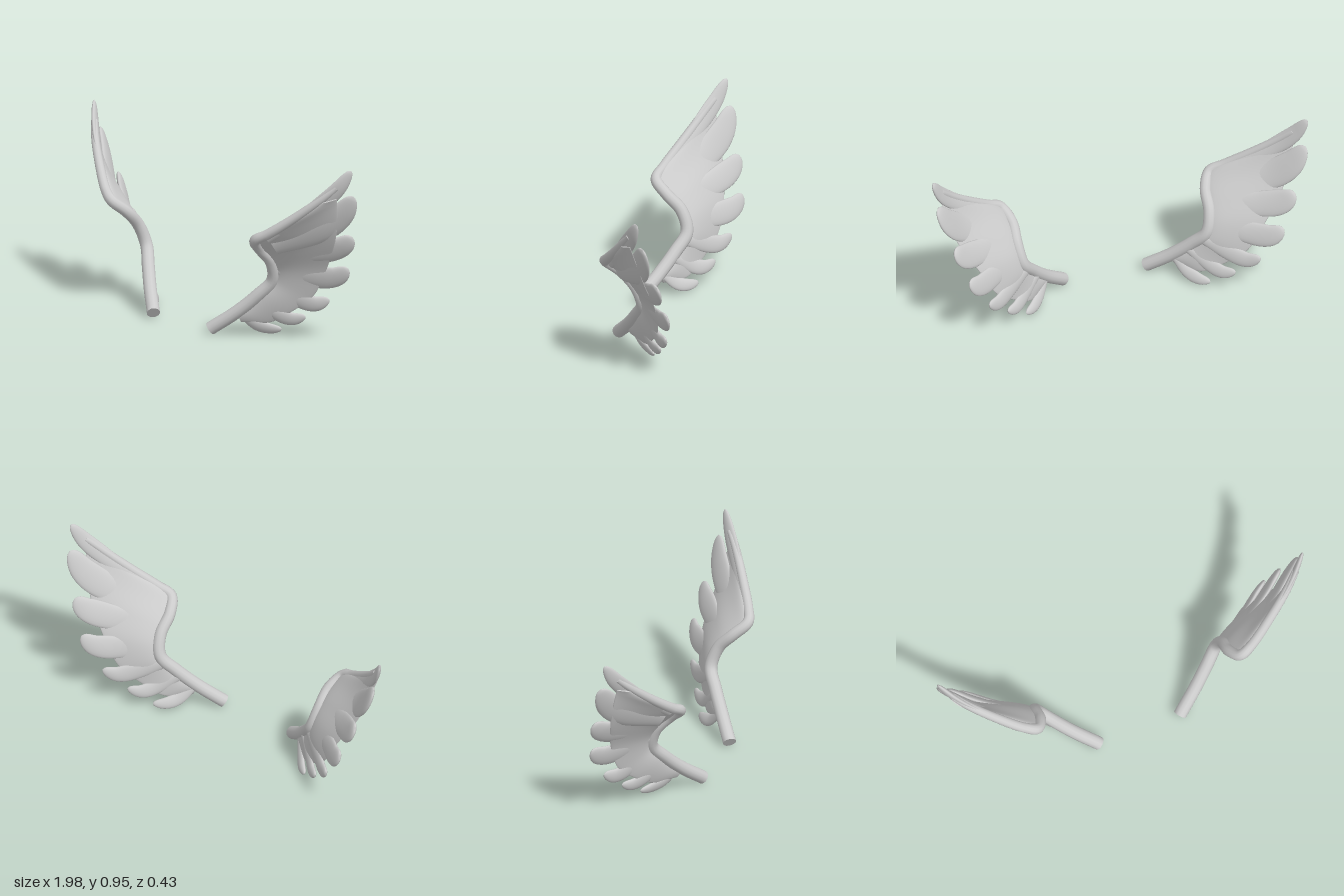
import * as THREE from 'three';

const V = (p) => new THREE.Vector3(...p);
const curve = (pts) => new THREE.CatmullRomCurve3(pts.map(V), false, 'centripetal');
const material = new THREE.MeshStandardMaterial({ color: 0xcccccc, side: THREE.DoubleSide });

// Skin over elliptical sections {c, u, v}; taper thickens the +u side, side mirrors in x
function loft(name, frames, side, sides = 20, taper = 0) {
  const pos = [], idx = [], p = new THREE.Vector3();
  const tri = (a, b, c) => (side > 0 ? idx.push(a, b, c) : idx.push(a, c, b));
  const ring = (f) => {
    for (let j = 0; j < sides; j++) {
      const a = (j / sides) * Math.PI * 2, cos = Math.cos(a);
      p.copy(f.c).addScaledVector(f.u, cos).addScaledVector(f.v, Math.sin(a) * (1 + taper * cos));
      pos.push(p.x * side, p.y, p.z);
    }
  };
  frames.forEach((f, i) => {
    const a = frames[Math.max(i - 1, 0)].c, b = frames[Math.min(i + 1, frames.length - 1)].c;
    if (f.u.clone().cross(f.v).dot(b.clone().sub(a)) < 0) f.v.negate();
    ring(f);
  });
  for (let i = 0; i < frames.length - 1; i++) {
    for (let j = 0; j < sides; j++) {
      const a = i * sides + j, b = i * sides + ((j + 1) % sides);
      tri(a, b, a + sides);
      tri(b, b + sides, a + sides);
    }
  }
  // flat end caps with their own vertices
  [frames[0], frames[frames.length - 1]].forEach((f, e) => {
    const s = pos.length / 3;
    ring(f);
    pos.push(f.c.x * side, f.c.y, f.c.z);
    for (let j = 0; j < sides; j++) {
      const k = s + ((j + 1) % sides);
      if (e) tri(s + sides, s + j, k);
      else tri(s + sides, k, s + j);
    }
  });
  const g = new THREE.BufferGeometry();
  g.setAttribute('position', new THREE.Float32BufferAttribute(pos, 3));
  g.setIndex(idx);
  g.computeVertexNormals();
  const mesh = new THREE.Mesh(g, material);
  mesh.name = name;
  return mesh;
}

// Sections along a spine, lying across the given surface normal
function spineFrames(pts, normal, width, thick, n) {
  const path = curve(pts), frames = [];
  for (let i = 0; i <= n; i++) {
    const t = i / n, tan = path.getTangent(t);
    const u = normal.clone().cross(tan).normalize();
    const v = tan.clone().cross(u).normalize();
    frames.push({ c: path.getPoint(t), u: u.multiplyScalar(width(t)), v: v.multiplyScalar(thick(t)) });
  }
  return frames;
}

// Leading bone, from the root stub over the elbow to the wing tip
const ARM = [
  [0.218, 0.032, 0.186], [0.33, 0.125, 0.11], [0.42, 0.22, 0.045], [0.485, 0.305, 0.0],
  [0.508, 0.41, 0.033], [0.51, 0.49, 0.11], [0.55, 0.55, 0.175], [0.62, 0.59, 0.155],
  [0.74, 0.68, 0.09], [0.86, 0.785, 0.015], [0.93, 0.86, -0.04],
];
// Web between the bone and the notches of the feathers
const WEB_FRONT = [
  [0.33, 0.13, 0.105], [0.38, 0.175, 0.07], [0.43, 0.235, 0.035], [0.48, 0.3, 0.0],
  [0.5, 0.37, 0.013], [0.51, 0.45, 0.07], [0.54, 0.545, 0.165], [0.72, 0.665, 0.1], [0.86, 0.78, 0.015],
];
const WEB_BACK = [
  [0.345, 0.075, 0.09], [0.45, 0.075, -0.01], [0.55, 0.138, -0.065], [0.66, 0.235, -0.12],
  [0.75, 0.39, -0.13], [0.85, 0.555, -0.1], [0.895, 0.67, -0.075], [0.92, 0.765, -0.05], [0.93, 0.8, -0.04],
];
// Feather spines from wing tip to root, with half width
const FEATHERS = [
  [0.05, [[0.6, 0.56, 0.14], [0.84, 0.75, 0.015], [0.93, 0.85, -0.045], [0.987, 0.95, -0.088]]],
  [0.082, [[0.6, 0.51, 0.09], [0.8, 0.61, -0.03], [0.9, 0.7, -0.09], [0.97, 0.81, -0.115]]],
  [0.075, [[0.55, 0.45, 0.04], [0.74, 0.48, -0.08], [0.84, 0.52, -0.145], [0.897, 0.577, -0.172]]],
  [0.068, [[0.52, 0.36, 0.0], [0.67, 0.335, -0.105], [0.765, 0.345, -0.175], [0.828, 0.393, -0.207]]],
  [0.05, [[0.46, 0.27, 0.0], [0.58, 0.21, -0.08], [0.655, 0.19, -0.135], [0.715, 0.216, -0.178]]],
  [0.042, [[0.4, 0.19, 0.04], [0.49, 0.12, -0.03], [0.545, 0.1, -0.08], [0.6, 0.116, -0.12]]],
  [0.036, [[0.345, 0.115, 0.085], [0.39, 0.06, 0.03], [0.435, 0.04, -0.02], [0.485, 0.038, -0.06]]],
];

function webFrames() {
  const front = curve(WEB_FRONT), back = curve(WEB_BACK), n = 48, frames = [];
  const at = (c, t) => c.getPoint(t);
  for (let i = 0; i <= n; i++) {
    const t = i / n, a = at(front, t), b = at(back, t);
    const t0 = Math.max(t - 0.03, 0), t1 = Math.min(t + 0.03, 1);
    const along = at(front, t1).sub(at(front, t0)).add(at(back, t1)).sub(at(back, t0));
    const u = a.clone().sub(b).multiplyScalar(0.5);
    const v = u.clone().cross(along).normalize().multiplyScalar(0.016);
    frames.push({ c: a.add(b).multiplyScalar(0.5), u, v });
  }
  return frames;
}

function makeWing(side) {
  const wing = new THREE.Group();
  wing.name = side > 0 ? 'leftWing' : 'rightWing';

  const radius = (t) => 0.034 - 0.016 * t * t;
  const armNormal = new THREE.Vector3(-0.65, 0.1, 0.75);
  wing.add(loft('wingBone', spineFrames(ARM, armNormal, radius, radius, 60), side, 12));
  wing.add(loft('wingWeb', webFrames(), side, 28, 0.5));

  FEATHERS.forEach(([w, pts], i) => {
    // the blade lies in the surface through the neighbouring feathers
    const mid = (k) => V(FEATHERS[Math.min(Math.max(k, 0), 6)][1][2]);
    const normal = V(pts[3]).sub(V(pts[0])).cross(mid(i - 1).sub(mid(i + 1))).normalize();
    const round = (t) => Math.sqrt(Math.max(1 - t ** 5, 0.0004));
    const width = (t) => w * (0.55 + 0.45 * Math.sin(Math.min(t / 0.6, 1) * Math.PI / 2)) * round(t) * (1 - 0.25 * t * t);
    const thick = (t) => (0.012 + 0.12 * w * t) * round(t);
    wing.add(loft('feather' + (i + 1), spineFrames(pts, normal, width, thick, 36), side));
  });
  return wing;
}

export function createModel() {
  const model = new THREE.Group();
  model.name = 'wings';
  model.add(makeWing(1), makeWing(-1));
  return model;
}
